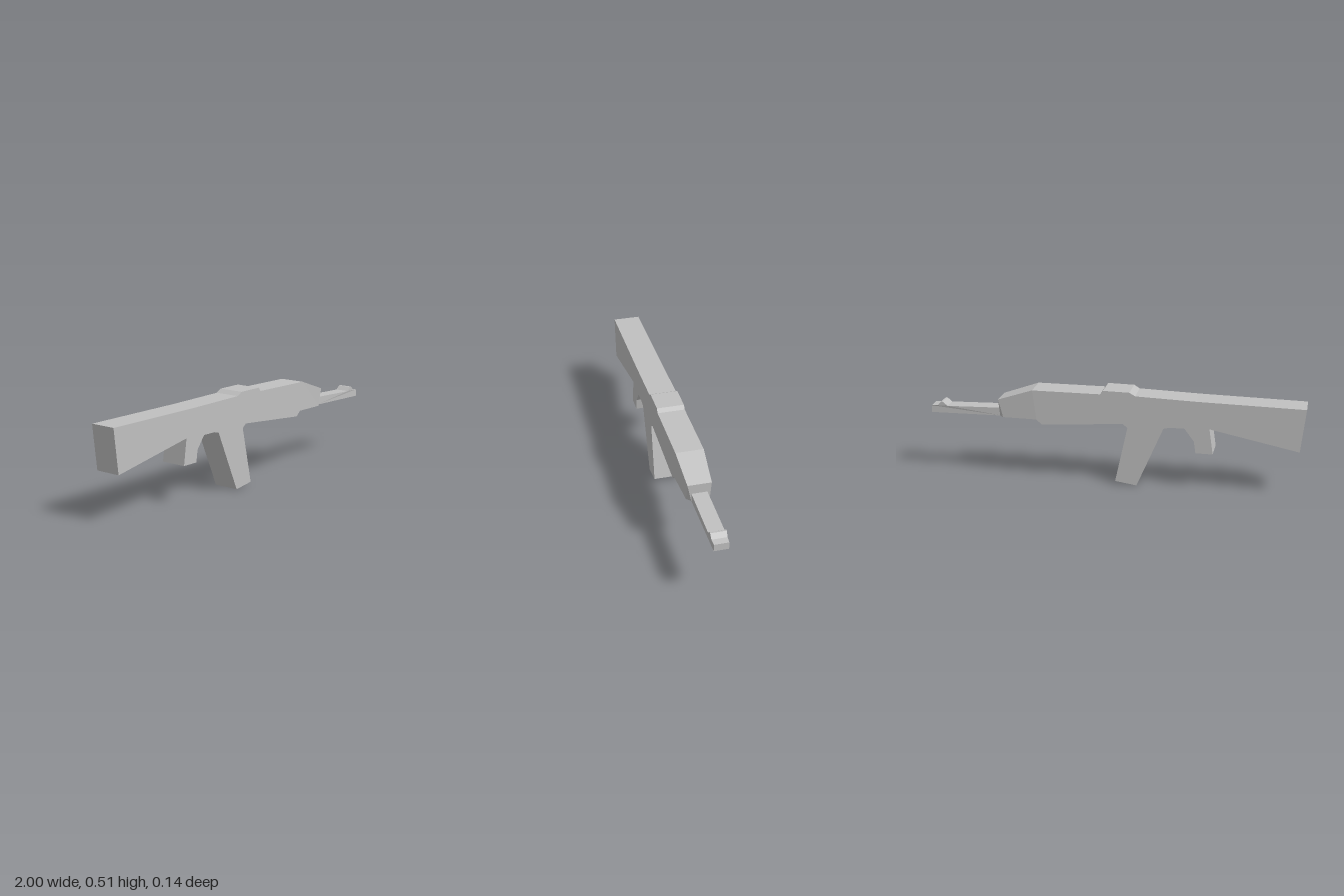
import * as THREE from 'three';
import { ConvexGeometry } from 'three/addons/geometries/ConvexGeometry.js';

const HALF = 0.072; // half thickness of the main body

export function createModel() {
  const group = new THREE.Group();
  const grey = new THREE.MeshStandardMaterial({ color: 0xc0c0c0, flatShading: true });
  grey.name = 'light grey';

  function add(name, geometry) {
    const mesh = new THREE.Mesh(geometry, grey);
    mesh.name = name;
    group.add(mesh);
  }

  // Extrudes a side outline across z; widthAt(x) gives the half thickness along the length
  function slab(name, outline, widthAt = () => HALF) {
    const shape = new THREE.Shape(outline.map(([x, y]) => new THREE.Vector2(x, y)));
    const geometry = new THREE.ExtrudeGeometry(shape, { depth: 1, bevelEnabled: false });
    const p = geometry.attributes.position;
    for (let i = 0; i < p.count; i++) {
      p.setZ(i, (p.getZ(i) > 0.5 ? 1 : -1) * widthAt(p.getX(i)));
    }
    geometry.computeVertexNormals();
    add(name, geometry);
  }

  // Shoulder stock
  slab('stock', [[-1, 0.475], [-0.975, 0.245], [-0.51, 0.34], [-0.44, 0.485]]);

  // Receiver between the stock and the fore-end
  slab('receiver', [
    [-0.44, 0.485], [-0.51, 0.34], [-0.38, 0.335], [-0.3, 0.335], [-0.27, 0.327],
    [-0.08, 0.32], [-0.055, 0.34], [0.38, 0.308], [0.41, 0.335], [0.43, 0.495],
    [0.065, 0.495], [-0.12, 0.495],
  ]);

  // Raised cover on top
  slab('topCover', [[-0.12, 0.495], [0.065, 0.495], [0.05, 0.515], [-0.09, 0.513]]);

  // Hand grip
  slab('grip', [[-0.51, 0.34], [-0.53, 0.203], [-0.44, 0.204], [-0.43, 0.268], [-0.38, 0.335]]);

  // Slanted magazine
  slab('magazine', [[-0.27, 0.327], [-0.13, 0.0], [-0.015, 0.017], [-0.08, 0.32]]);

  // Fore-end, narrowing toward the muzzle
  slab('foreEnd', [[0.43, 0.495], [0.41, 0.335], [0.595, 0.333], [0.62, 0.43]],
    (x) => (x > 0.5 ? 0.061 : HALF));

  // Faceted collar where the fore-end meets the barrel
  const collar = [];
  for (const s of [-1, 1]) {
    for (const [x, y, z] of [[0.62, 0.43, 0.061], [0.595, 0.333, 0.061], [0.617, 0.38, 0.04], [0.617, 0.334, 0.04]]) {
      collar.push(new THREE.Vector3(x, y, z * s));
    }
  }
  add('collar', new ConvexGeometry(collar));

  // Square barrel with a small front sight
  const barrelWidth = (x) => 0.04 - 0.003 * THREE.MathUtils.smoothstep(x, 0.94, 1);
  slab('barrel', [[0.605, 0.378], [0.605, 0.334], [1, 0.329], [1, 0.367], [0.965, 0.37], [0.91, 0.37]], barrelWidth);
  slab('frontSight', [[0.91, 0.37], [0.965, 0.37], [0.945, 0.392], [0.935, 0.391]], barrelWidth);

  return group;
}
